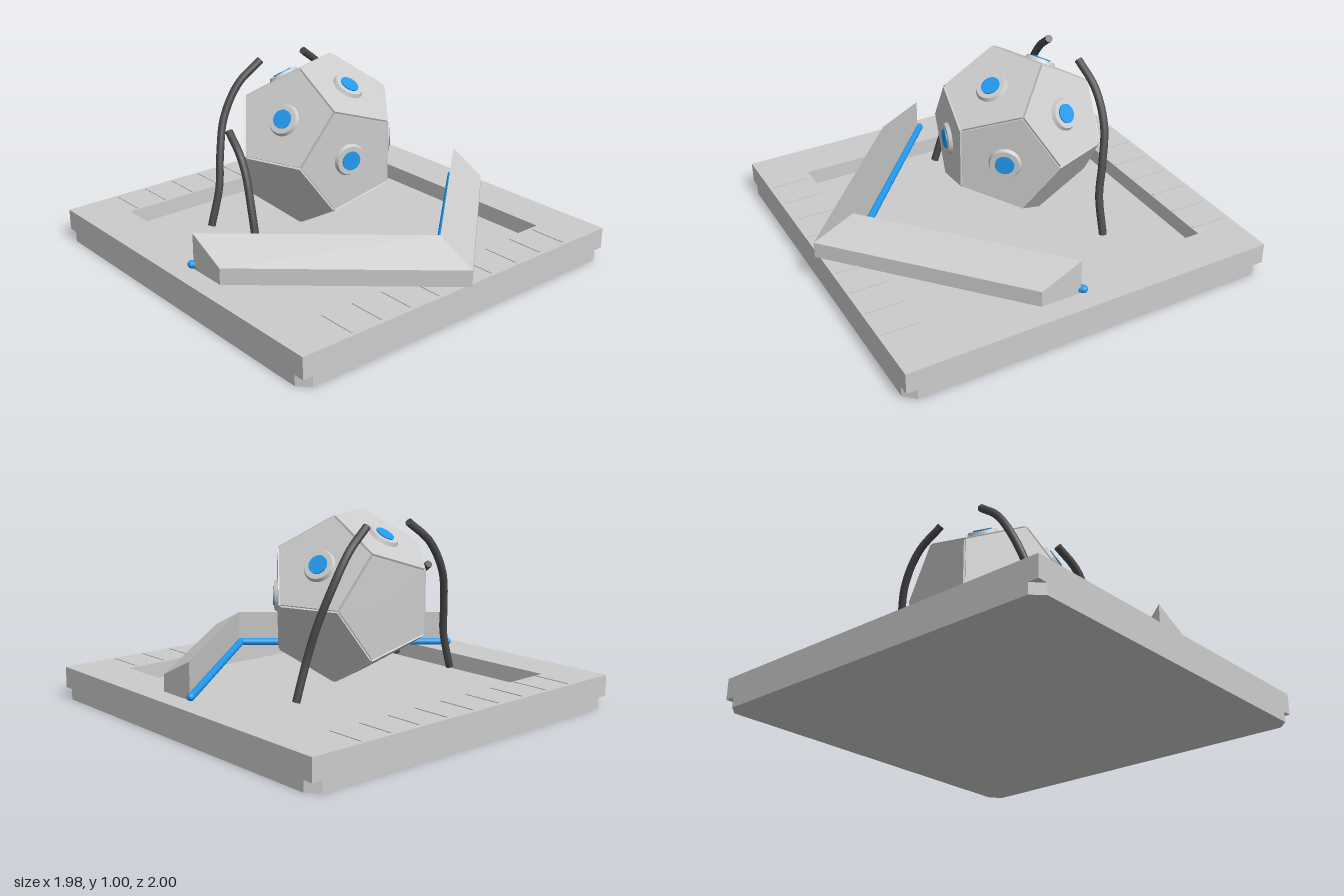
import * as THREE from 'three';

const grey = new THREE.MeshStandardMaterial({ color: 0xcccccc, flatShading: true });
const smoothGrey = new THREE.MeshStandardMaterial({ color: 0xcccccc });
const blue = new THREE.MeshStandardMaterial({ color: 0x2299ee });
const dark = new THREE.MeshStandardMaterial({ color: 0x4a4a4a });

const PHI = (1 + Math.sqrt(5)) / 2;
const TOP = 0.165; // height of the platform rim
const FLOOR = 0.08; // floor of the recess

function add(parent, name, geometry, material, x = 0, y = 0, z = 0) {
  const mesh = new THREE.Mesh(geometry, material);
  mesh.name = name;
  mesh.position.set(x, y, z);
  parent.add(mesh);
  return mesh;
}

const polygon = (points) => new THREE.Shape(points.map(([x, y]) => new THREE.Vector2(x, y)));

// Extrudes a floor plan (x, -z) upwards
function extrudeUp(shape, height) {
  return new THREE.ExtrudeGeometry(shape, { depth: height, bevelEnabled: false }).rotateX(-Math.PI / 2);
}

function createPlatform() {
  const group = new THREE.Group();
  group.name = 'platform';
  const w = 0.99, c = 0.055;

  // Lower slab with cut corners
  const foot = polygon([
    [-w + c, -w], [w - c, -w], [w, -w + c], [w, w - c],
    [w - c, w], [-w + c, w], [-w, w - c], [-w, -w + c],
  ]);
  add(group, 'lowerSlab', extrudeUp(foot, 0.055), grey);
  add(group, 'recessFloor', new THREE.BoxGeometry(2 * w, FLOOR - 0.055, 2 * w), grey, 0, (FLOOR + 0.055) / 2, 0);

  // Raised rim around the recess
  const rim = polygon([[-w, -w], [w, -w], [w, w], [-w, w]]);
  rim.holes.push(polygon([[-0.755, -0.75], [-0.755, 0.76], [0.755, 0.76], [0.755, -0.75]]));
  add(group, 'rim', extrudeUp(rim, TOP - FLOOR), grey, 0, FLOOR, 0);

  // Fine ribs across the front and back of the rim
  for (const z of [-0.87, 0.87]) {
    for (let i = -4; i <= 4; i++) {
      add(group, 'rimRib', new THREE.BoxGeometry(0.01, 0.004, 0.2), grey, i * 0.175, TOP + 0.002, z);
    }
  }
  group.position.z = -0.01;
  return group;
}

function createBarrier() {
  const group = new THREE.Group();
  group.name = 'barrier';
  const length = 0.877, sweep = 0.88;

  // Sloped wall profile (z, y), swept back along each arm of the V
  const profile = polygon([[0.785, TOP], [1.0, TOP], [1.0, 0.25], [0.785, 0.353]]);
  for (const side of [-1, 1]) {
    const wall = new THREE.ExtrudeGeometry(profile, { depth: length, bevelEnabled: false });
    wall.rotateY(-Math.PI / 2);
    if (side > 0) wall.translate(length, 0, 0);
    const p = wall.attributes.position;
    for (let i = 0; i < p.count; i++) p.setZ(i, p.getZ(i) - sweep * Math.abs(p.getX(i)));
    wall.computeVertexNormals();
    add(group, 'barrierArm', wall, grey);

    // Light rod along the inner foot
    const path = new THREE.LineCurve3(
      new THREE.Vector3(0, 0.186, 0.768), new THREE.Vector3(side * 0.88, 0.186, 0));
    const rod = new THREE.TubeGeometry(path, 1, 0.02, 12);
    add(group, 'lightRod', rod, blue);
    for (const end of [path.v1, path.v2]) {
      add(group, 'rodEnd', new THREE.SphereGeometry(0.02, 12, 8), blue, end.x, end.y, end.z);
    }
  }
  return group;
}

function createBall() {
  const group = new THREE.Group();
  group.name = 'pentagonBall';
  const scale = 0.42 / PHI; // vertex coordinate unit
  const inradius = 0.3575;
  add(group, 'ballCore', new THREE.DodecahedronGeometry(scale * Math.sqrt(3) * 0.968), grey);

  // Twelve face normals as cyclic permutations of (0, phi, 1)
  const normals = [];
  for (const a of [-1, 1]) {
    for (const b of [-1, 1]) normals.push([0, a * PHI, b], [b, 0, a * PHI], [a * PHI, b, 0]);
  }
  for (const n of normals) {
    const up = new THREE.Vector3(...n).normalize();
    // One corner of the face sets the roll of its panel
    const corner = new THREE.Vector3(...n.map((v) => Math.sign(v) * (Math.abs(v) > 1 ? 1 / PHI : PHI)));
    const toCorner = corner.addScaledVector(up, -corner.dot(up)).normalize();
    const across = new THREE.Vector3().crossVectors(up, toCorner);
    const face = new THREE.Group();
    face.name = 'face';
    face.quaternion.setFromRotationMatrix(new THREE.Matrix4().makeBasis(across, up, toCorner));
    group.add(face);
    add(face, 'panel', new THREE.CylinderGeometry(0.265, 0.265, 0.02, 5), grey, 0, inradius - 0.01, 0);

    // Round lights on the upper and front faces
    if (n[1] > 0 || (n[1] === 0 && n[2] > 0)) {
      add(face, 'lightBezel', new THREE.CylinderGeometry(0.073, 0.082, 0.018, 32), smoothGrey, 0, inradius + 0.009, 0);
      add(face, 'light', new THREE.CylinderGeometry(0.048, 0.048, 0.008, 32), blue, 0, inradius + 0.02, 0);
    }
  }
  group.position.set(0, 0.583, -0.135);
  group.rotation.y = THREE.MathUtils.degToRad(20);
  return group;
}

function createTentacle(points) {
  const group = new THREE.Group();
  group.name = 'tentacle';
  const path = new THREE.CatmullRomCurve3(points.map((p) => new THREE.Vector3(...p)));
  add(group, 'tentacleTube', new THREE.TubeGeometry(path, 40, 0.02, 12), dark);
  // Flat caps close both ends
  for (const t of [0, 1]) {
    const end = path.getPoint(t);
    const cap = add(group, 'tentacleCap', new THREE.CircleGeometry(0.02, 12), dark, end.x, end.y, end.z);
    const outward = path.getTangent(t).multiplyScalar(t ? 1 : -1);
    cap.quaternion.setFromUnitVectors(new THREE.Vector3(0, 0, 1), outward);
  }
  return group;
}

export function createModel() {
  const model = new THREE.Group();
  model.name = 'model';
  model.add(createPlatform(), createBarrier(), createBall());

  // Mirrored pair behind the ball
  for (const side of [-1, 1]) {
    model.add(createTentacle([
      [side * 0.525, TOP, -0.345], [side * 0.465, 0.36, -0.352], [side * 0.43, 0.52, -0.385],
      [side * 0.37, 0.7, -0.425], [side * 0.27, 0.86, -0.43], [side * 0.14, 0.965, -0.41],
    ]));
  }
  // Shorter one at the side
  model.add(createTentacle([
    [-0.54, TOP, 0.07], [-0.525, 0.36, 0.01], [-0.505, 0.53, -0.06], [-0.497, 0.62, -0.12], [-0.477, 0.7, -0.23],
  ]));
  return model;
}
